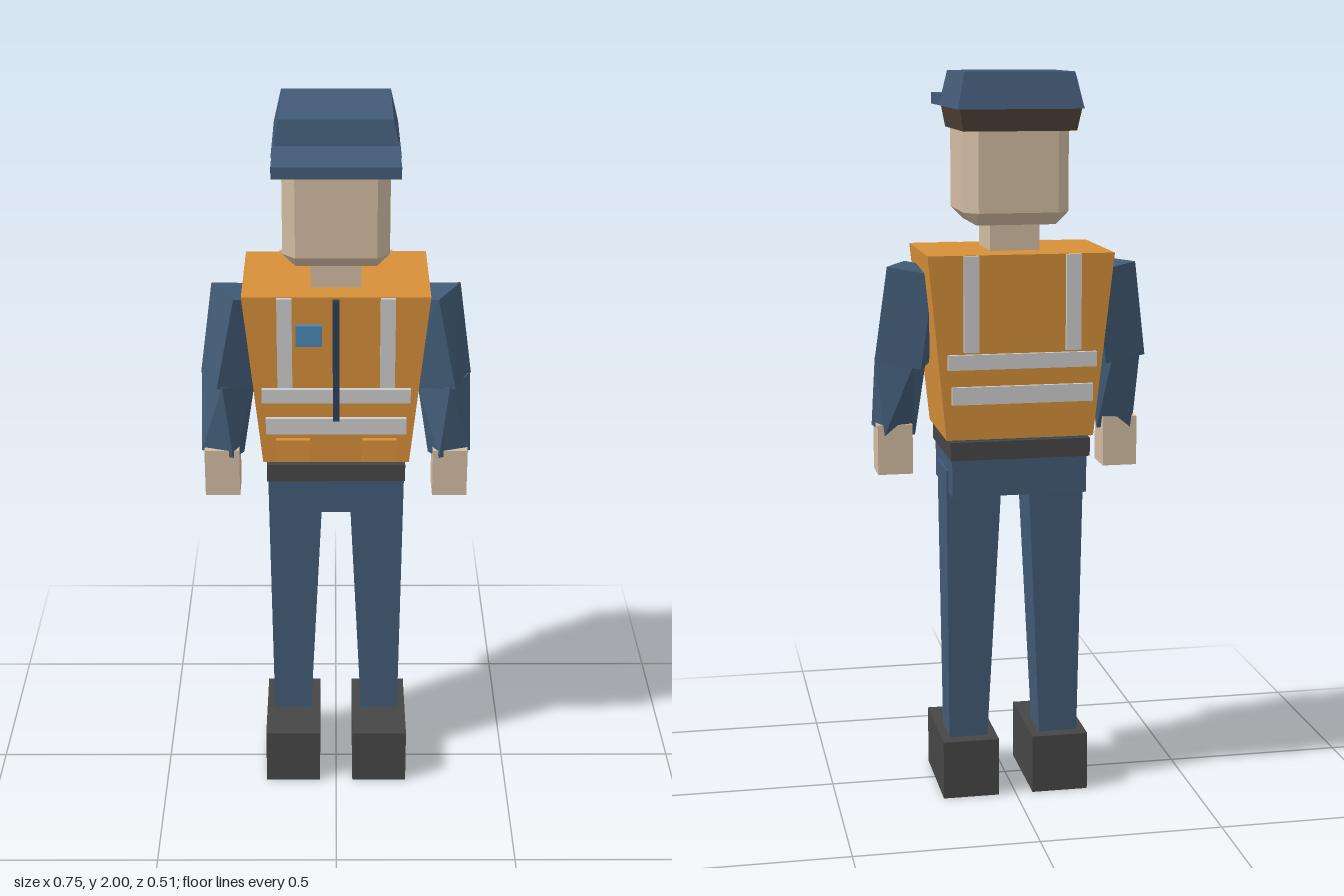
import * as THREE from 'three';
import { ConvexGeometry } from 'three/addons/geometries/ConvexGeometry.js';

const paint = (color) => new THREE.MeshStandardMaterial({ color, flatShading: true });
const navy = paint(0x425b76);
const orange = paint(0xd6903a);
const skin = paint(0xd2bba2);
const charcoal = paint(0x464646);
const brown = paint(0x4e4136);
const silver = paint(0xcccfcc);
const blue = paint(0x4a86b5);
const darkNavy = paint(0x2b4058);

export function createModel() {
  const model = new THREE.Group();
  model.name = 'worker';

  const add = (name, geometry, material) => {
    const mesh = new THREE.Mesh(geometry, material);
    mesh.name = name;
    model.add(mesh);
    return mesh;
  };

  // Box given by its limits on each axis
  const box = (name, material, [x0, x1], [y0, y1], [z0, z1]) =>
    add(name, new THREE.BoxGeometry(x1 - x0, y1 - y0, z1 - z0), material)
      .position.set((x0 + x1) / 2, (y0 + y1) / 2, (z0 + z1) / 2);

  // Solid hull around corner points [x, y, z]
  const hull = (name, material, points) =>
    add(name, new ConvexGeometry(points.map((p) => new THREE.Vector3(...p))), material);

  // Four corners of a level rectangle
  const rect = (y, x0, x1, z0, z1) => [[x0, y, z0], [x1, y, z0], [x1, y, z1], [x0, y, z1]];
  const mirror = (points, s) => points.map(([x, y, z]) => [x * s, y, z]);

  // Trunk
  hull('vest', orange, [
    ...rect(1.035, -0.2, 0.2, -0.22, 0.08),
    ...rect(1.53, -0.25, 0.25, -0.24, 0.1),
  ]);
  box('belt', charcoal, [-0.19, 0.19], [0.98, 1.03], [-0.226, 0.088]);
  box('hips', navy, [-0.184, 0.184], [0.877, 1.036], [-0.212, 0.076]);
  box('neck', skin, [-0.067, 0.067], [1.5, 1.65], [-0.14, 0.03]);

  // Head: box with all edges bevelled
  const half = [0.141, 0.16, 0.142];
  const bevel = 0.034;
  const headPoints = [];
  for (let axis = 0; axis < 3; axis++) {
    for (const sx of [-1, 1]) for (const sy of [-1, 1]) for (const sz of [-1, 1]) {
      const p = [sx, sy, sz].map((s, i) => s * (half[i] - (i === axis ? 0 : bevel)));
      headPoints.push([p[0], p[1] + 1.76, p[2] - 0.053]);
    }
  }
  hull('head', skin, headPoints);

  // Hair and cap
  hull('hair', brown, [
    ...rect(1.848, -0.15, 0.15, -0.218, 0.084),
    ...rect(1.91, -0.162, 0.162, -0.228, 0.086),
  ]);
  hull('capCrown', navy, [
    ...rect(1.905, -0.167, 0.167, -0.232, 0.088),
    ...rect(2, -0.146, 0.146, -0.21, 0.07),
  ]);
  box('capBrim', navy, [-0.162, 0.162], [1.904, 1.935], [0.05, 0.255]);

  // Reflective bands, front and back
  for (const [side, z] of [['front', [0.104, 0.116]], ['back', [-0.257, -0.245]]]) {
    box(side + 'UpperBand', silver, [-0.2, 0.2], [1.23, 1.27], z);
    box(side + 'LowerBand', silver, [-0.19, 0.19], [1.137, 1.184], z);
    for (const x of [-0.137, 0.137]) {
      box(side + 'ShoulderBand', silver, [x - 0.02, x + 0.02], [1.276, 1.53], z);
    }
  }

  // Front details of the vest
  box('zip', darkNavy, [-0.009, 0.009], [1.182, 1.53], [0.114, 0.128]);
  box('badge', blue, [-0.107, -0.037], [1.405, 1.463], [0.122, 0.137]);
  for (const x of [-0.117, 0.117]) {
    box('pocket', orange, [x - 0.046, x + 0.046], [1.065, 1.13], [0.122, 0.138]);
  }

  // Arms and legs
  for (const s of [-1, 1]) {
    const side = s > 0 ? 'left' : 'right';
    hull(side + 'UpperArm', navy, mirror([
      [0.275, 1.49, 0.02], [0.34, 1.49, -0.108], [0.22, 1.47, -0.153], [0.165, 1.47, -0.03],
      [0.325, 1.235, 0.037], [0.375, 1.23, -0.09], [0.255, 1.215, -0.135], [0.205, 1.22, -0.01],
    ], s));
    hull(side + 'Forearm', navy, mirror([
      [0.31, 1.24, 0.036], [0.37, 1.24, -0.06], [0.275, 1.22, -0.12], [0.225, 1.22, -0.025],
      [0.285, 1.03, 0.045], [0.372, 1.04, 0.015], [0.345, 1.02, -0.058], [0.257, 1.015, -0.025],
    ], s));
    hull(side + 'Hand', skin, mirror([
      ...rect(0.912, 0.268, 0.364, -0.058, 0.041),
      ...rect(1.05, 0.268, 0.364, -0.058, 0.041),
    ], s));
    hull(side + 'Leg', navy, mirror([
      ...rect(0.15, 0.075, 0.182, -0.125, -0.01),
      ...rect(0.937, 0.036, 0.19, -0.15, 0.008),
    ], s));
    hull(side + 'Boot', charcoal, mirror([
      ...rect(0, 0.048, 0.205, -0.165, 0.126),
      ...rect(0.165, 0.048, 0.205, -0.165, 0.126),
    ], s));
  }

  return model;
}
